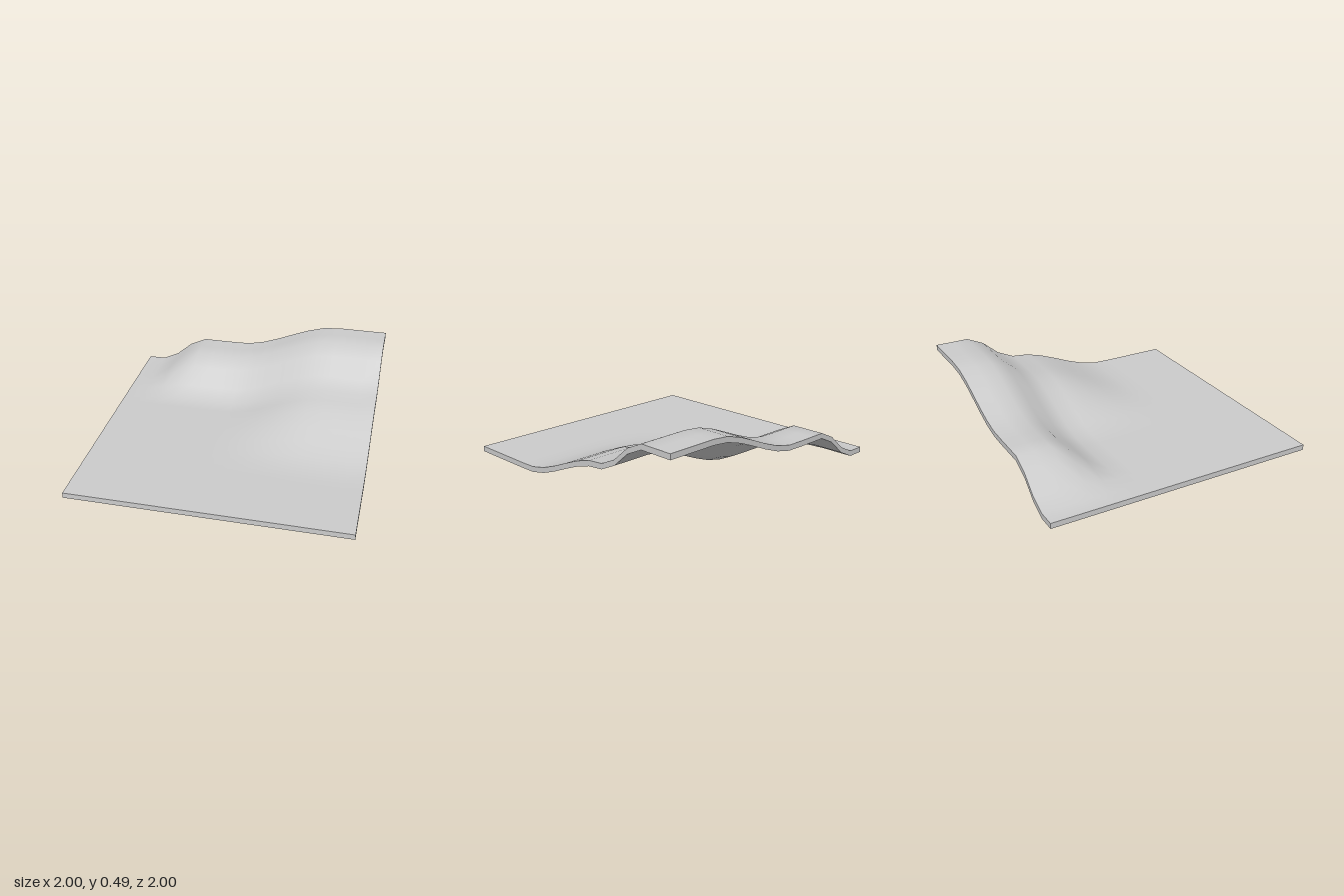
import * as THREE from 'three';

const THICKNESS = 0.04;
const STEP = 0.225;
const SEGMENTS = 16;

// Eased ramp from 0 at a to 1 at b; a may be greater than b
function ramp(a, b, v) {
  const t = THREE.MathUtils.clamp((v - a) / (b - a), 0, 1);
  return t * t * (3 - 2 * t);
}

// Two overlapping terraces, both rising towards the back right corner of the plan
function terrainHeight(x, z) {
  const backTerrace = ramp(-0.875, -0.5, x) * ramp(-0.375, -0.75, z);
  const sideTerrace = ramp(-0.18, 0.61, x) * ramp(0.43, -0.36, z);
  return STEP * (backTerrace + sideTerrace);
}

export function createModel() {
  const group = new THREE.Group();
  group.name = 'terrainTile';

  // Thin slab whose top and underside follow the same hill
  const geometry = new THREE.BoxGeometry(2, THICKNESS, 2, SEGMENTS, 1, SEGMENTS);
  const pos = geometry.attributes.position;
  for (let i = 0; i < pos.count; i++) {
    const lift = THICKNESS / 2 + terrainHeight(pos.getX(i), pos.getZ(i));
    pos.setY(i, pos.getY(i) + lift);
  }
  geometry.computeVertexNormals();

  const slab = new THREE.Mesh(geometry, new THREE.MeshStandardMaterial({ color: 0xcccccc }));
  slab.name = 'terracedGround';
  group.add(slab);
  return group;
}
